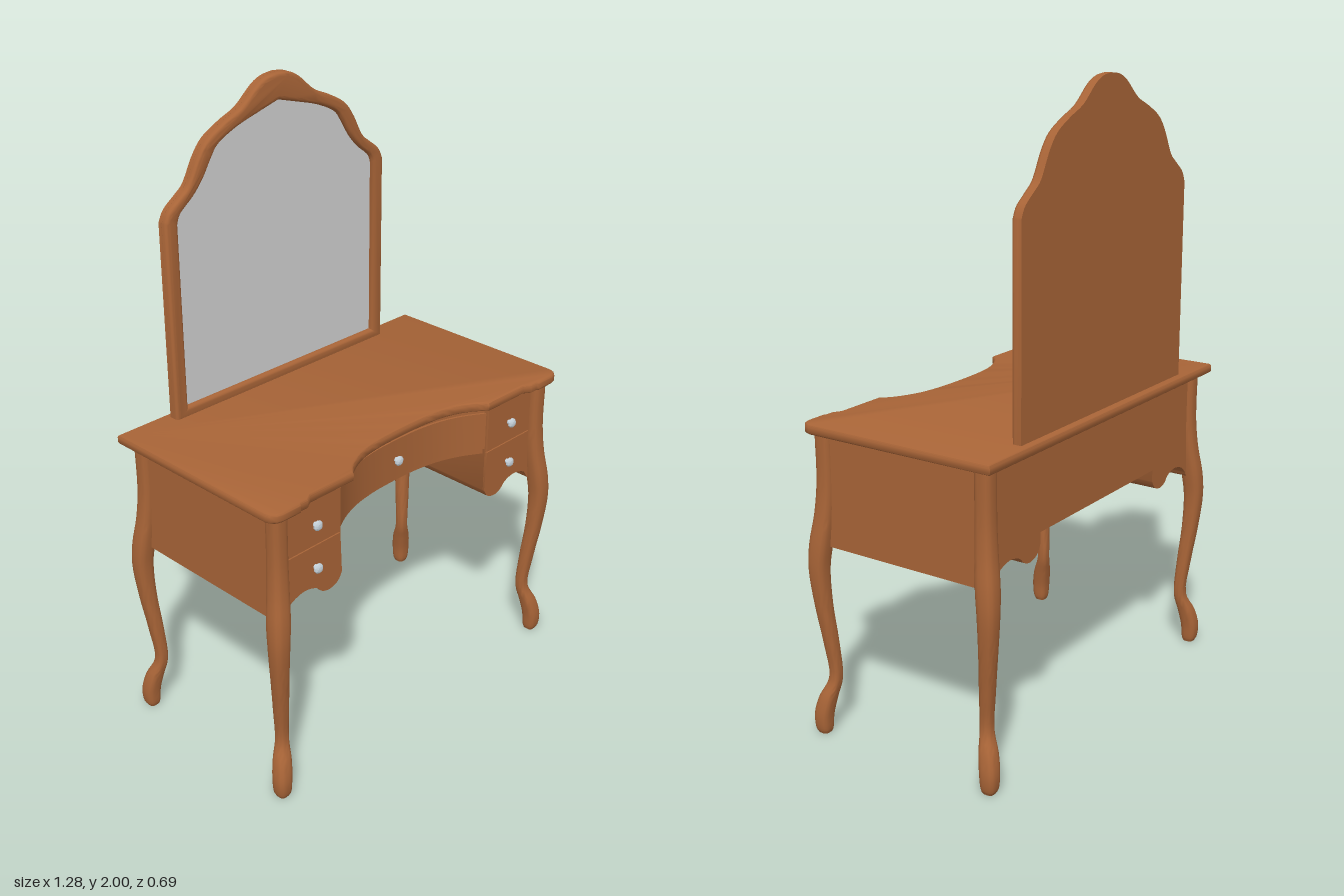
import * as THREE from 'three';
import { toCreasedNormals } from 'three/addons/utils/BufferGeometryUtils.js';

const wood = new THREE.MeshStandardMaterial({ color: 0xa86437 });
wood.name = 'wood';
const glass = new THREE.MeshStandardMaterial({ color: 0xcfcfcf });
glass.name = 'mirrorGlass';
const silver = new THREE.MeshStandardMaterial({ color: 0xc6d2da });
silver.name = 'knobSilver';

const v2 = (p) => new THREE.Vector2(p[0], p[1]);

// Smooth a short list of points
const smooth = (pts, n = 28) => new THREE.SplineCurve(pts.map(v2)).getPoints(n).map((p) => [p.x, p.y]);

// Complete a right-half outline (bottom to top centre) with its mirror image
const mirrorHalf = (half) => [...half, ...half.slice(0, -1).reverse().map(([x, y]) => [-x, y])];

function extrude(points, depth, bevel = 0, hole = null) {
  const shape = new THREE.Shape(points.map(v2));
  if (hole) shape.holes.push(new THREE.Path(hole.map(v2)));
  const geo = new THREE.ExtrudeGeometry(shape, {
    depth: depth - 2 * bevel, bevelEnabled: bevel > 0, bevelThickness: bevel,
    bevelSize: bevel, bevelOffset: -bevel, bevelSegments: 4,
  });
  geo.translate(0, 0, bevel);
  return toCreasedNormals(geo, 0.6);
}

// Plan outline given as (x, z), raised from y0 to y1
function slab(plan, y0, y1, bevel = 0) {
  const geo = extrude(plan.map(([x, z]) => [x, -z]), y1 - y0, bevel);
  return geo.rotateX(-Math.PI / 2).translate(0, y0, 0);
}

// Curved leg: rounded-square rings swept up a diagonal S-curve
function legGeometry(sx, sz) {
  const curve = new THREE.CatmullRomCurve3([ // offset, height, half width
    [0.607, 0, 0.018], [0.608, 0.012, 0.023], [0.608, 0.06, 0.027], [0.597, 0.12, 0.026],
    [0.58, 0.18, 0.019], [0.587, 0.3, 0.0215], [0.6, 0.43, 0.025], [0.606, 0.55, 0.0295],
    [0.6, 0.63, 0.032], [0.589, 0.72, 0.03], [0.583, 0.82, 0.028], [0.583, 0.985, 0.028],
  ].map((p) => new THREE.Vector3(...p)));
  const rings = 44, sides = 20, pos = [], idx = [];
  for (let i = 0; i <= rings; i++) {
    const p = curve.getPoint(i / rings);
    for (let j = 0; j < sides; j++) {
      const a = (j / sides) * Math.PI * 2, c = Math.cos(a), s = Math.sin(a);
      const r = p.z / Math.pow(c ** 4 + s ** 4, 0.2);
      pos.push(sx * p.x + r * c, p.y, sz * (p.x - 0.293) + r * s);
    }
  }
  for (let i = 0; i < rings; i++) {
    for (let j = 0; j < sides; j++) {
      const a = i * sides + j, b = i * sides + ((j + 1) % sides);
      idx.push(a, a + sides, b, b, a + sides, b + sides);
    }
  }
  for (let j = 1; j < sides - 1; j++) idx.push(0, j, j + 1); // sole
  const geo = new THREE.BufferGeometry();
  geo.setAttribute('position', new THREE.Float32BufferAttribute(pos, 3));
  geo.setIndex(idx);
  return toCreasedNormals(geo, 0.9);
}

export function createModel() {
  const group = new THREE.Group();
  const add = (name, geo, mat = wood, x = 0, y = 0, z = 0) => {
    const mesh = new THREE.Mesh(geo, mat);
    mesh.name = name;
    mesh.position.set(x, y, z);
    group.add(mesh);
    return mesh;
  };

  // Table top with stepped front corners and a concave knee recess
  const recess = smooth([[0.305, 0.32], [0.265, 0.285], [0.19, 0.252], [0.1, 0.238], [0, 0.235]], 16);
  const topHalf = [[0.64, -0.345], [0.64, 0.305], [0.634, 0.322], [0.62, 0.335], [0.602, 0.34],
    [0.535, 0.34], [0.527, 0.335], [0.502, 0.335], [0.478, 0.32], ...recess];
  add('tableTop', slab(mirrorHalf(topHalf), 0.978, 1.01, 0.009));

  // Concave centre drawer between the pedestals
  const front = (inset) => mirrorHalf([[0.33, -0.285],
    ...smooth([[0.33, 0.29], [0.26, 0.25], [0.18, 0.222], [0.09, 0.208], [0, 0.205]], 16)
      .map(([x, z]) => [x, z - inset])]);
  add('centreDrawerCase', slab(front(0.008), 0.805, 0.982));
  add('centreDrawerFront', slab(front(0), 0.825, 0.953));
  add('centreBackPanel', new THREE.BoxGeometry(0.67, 0.272, 0.02), wood, 0, 0.846, -0.292);

  // Pedestals with a scalloped lower edge running front to back
  const scallop = smooth([[0.595, 0.62], [0.568, 0.623], [0.555, 0.642], [0.53, 0.663], [0.483, 0.675],
    [0.438, 0.664], [0.413, 0.642], [0.382, 0.634], [0.348, 0.645], [0.33, 0.672]], 36);
  for (const s of [-1, 1]) {
    const side = s > 0 ? 'left' : 'right';
    const outline = [[0.595, 0.982], ...scallop, [0.33, 0.982]].map(([x, y]) => [s * x, y]);
    add(side + 'Pedestal', extrude(outline, 0.592), wood, 0, 0, -0.302);

    // Two drawer fronts per pedestal
    add(side + 'UpperDrawer', new THREE.BoxGeometry(0.214, 0.158, 0.008), wood, s * 0.443, 0.893, 0.292);
    const lower = [[0.55, 0.81], ...scallop.filter(([x]) => x < 0.55), [0.336, 0.81]]
      .map(([x, y]) => [s * x, y]);
    add(side + 'LowerDrawer', extrude(lower, 0.006), wood, 0, 0, 0.29);

    for (const sz of [-1, 1]) {
      add(side + (sz > 0 ? 'FrontLeg' : 'BackLeg'), legGeometry(s, sz));
    }
  }

  // Knobs
  const knobGeo = toCreasedNormals(new THREE.LatheGeometry([[0, 0], [0.008, 0], [0.008, 0.008], [0.016, 0.012],
    [0.016, 0.018], [0.009, 0.024], [0, 0.026]].map(v2), 10).rotateX(Math.PI / 2), 0.6);
  for (const [x, y, z] of [[0, 0.885, 0.204], [0.44, 0.885, 0.295], [-0.44, 0.885, 0.295],
    [0.44, 0.74, 0.295], [-0.44, 0.74, 0.295]]) add('knob', knobGeo, silver, x, y, z);

  // Mirror: flat backboard, rounded frame and glass
  const outer = mirrorHalf([[0.455, 1.003], ...smooth([[0.455, 1.64], [0.437, 1.675], [0.395, 1.708],
    [0.36, 1.738], [0.32, 1.81], [0.28, 1.857], [0.215, 1.893], [0.15, 1.922], [0.088, 1.973],
    [0.045, 1.994], [0, 2]], 36)]);
  const inner = mirrorHalf([[0.408, 1.04], ...smooth([[0.408, 1.63], [0.395, 1.66], [0.345, 1.7],
    [0.305, 1.745], [0.27, 1.8], [0.24, 1.835], [0.165, 1.87], [0.08, 1.895], [0, 1.917]], 32)]);
  add('mirrorBackboard', extrude(outer, 0.014), wood, 0, 0, -0.32);
  add('mirrorFrame', extrude(outer, 0.033, 0.013, inner), wood, 0, 0, -0.318);
  add('mirrorGlass', extrude(inner, 0.004), glass, 0, 0, -0.306);

  return group;
}
